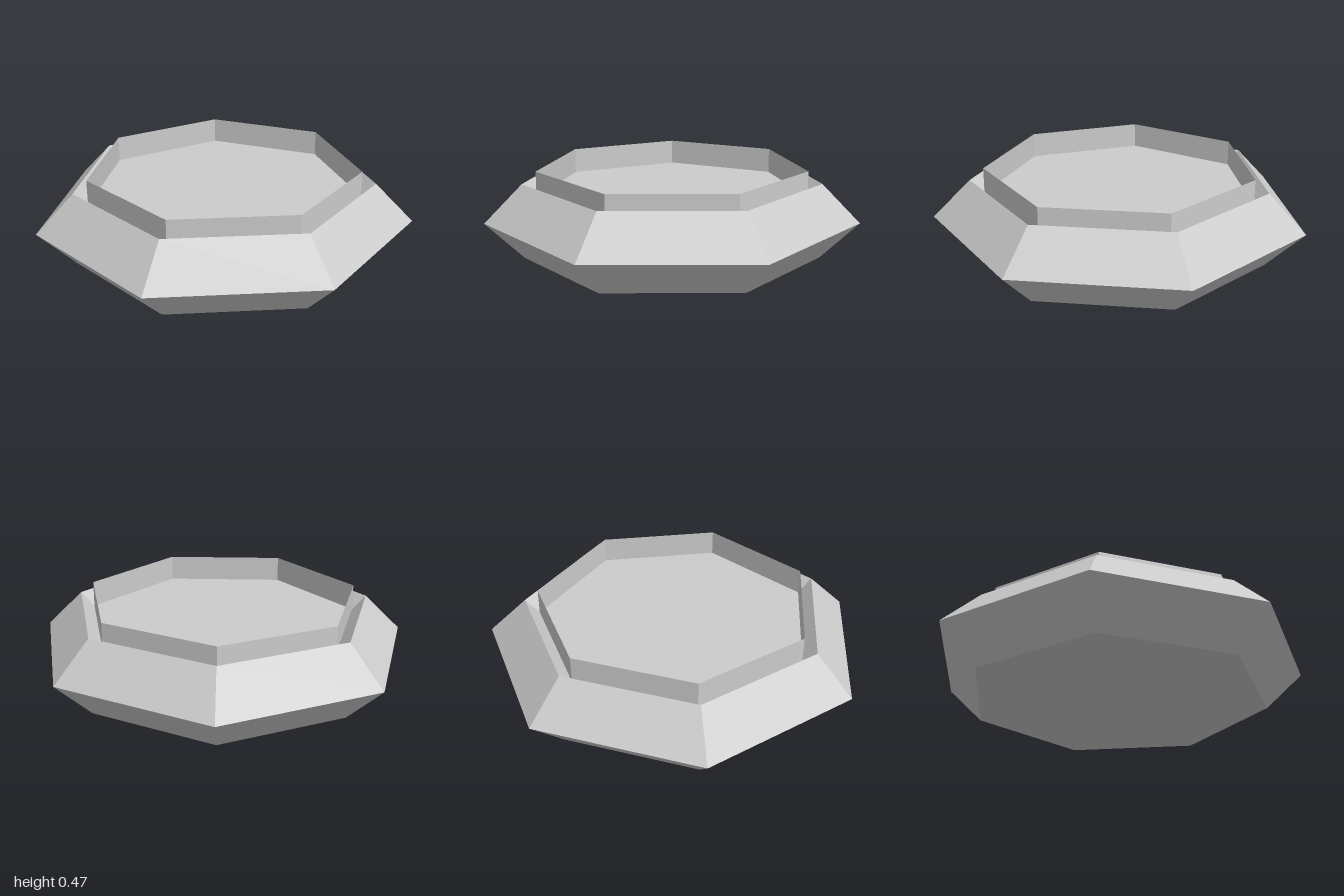
import * as THREE from 'three';

const SIDES = 7;

// Seven-sided solid of revolution with one corner pointing to +x
function heptagon(name, profile, material) {
  const points = profile.map(([r, y]) => new THREE.Vector2(r, y));
  const mesh = new THREE.Mesh(new THREE.LatheGeometry(points, SIDES, Math.PI / 2), material);
  mesh.name = name;
  return mesh;
}

export function createModel() {
  const model = new THREE.Group();
  model.name = 'heptagonalBasin';
  const solid = new THREE.MeshStandardMaterial({ color: 0xcccccc, flatShading: true });
  const thin = new THREE.MeshStandardMaterial({ color: 0xcccccc, flatShading: true, side: THREE.DoubleSide });

  const outer = 1.026, crest = 0.82, wall = 0.744;
  const floorY = 0.335;

  // Bevelled ring with a flat underside; its crest slopes inward to the wall
  model.add(heptagon('bevelledBase', [
    [0, 0], [crest, 0], [outer, 0.205], [crest, 0.41], [wall, floorY],
  ], solid));

  // Sunken floor inside the wall
  model.add(heptagon('floor', [[wall, floorY], [0, floorY]], solid));

  // Thin upright wall around the floor
  model.add(heptagon('rimWall', [[wall, floorY], [wall, 0.475]], thin));

  // A seven-sided outline is lopsided in x, so shift it to the middle
  const shift = -outer * (1 - Math.cos(Math.PI / SIDES)) / 2;
  model.children.forEach((part) => { part.position.x = shift; });
  return model;
}
